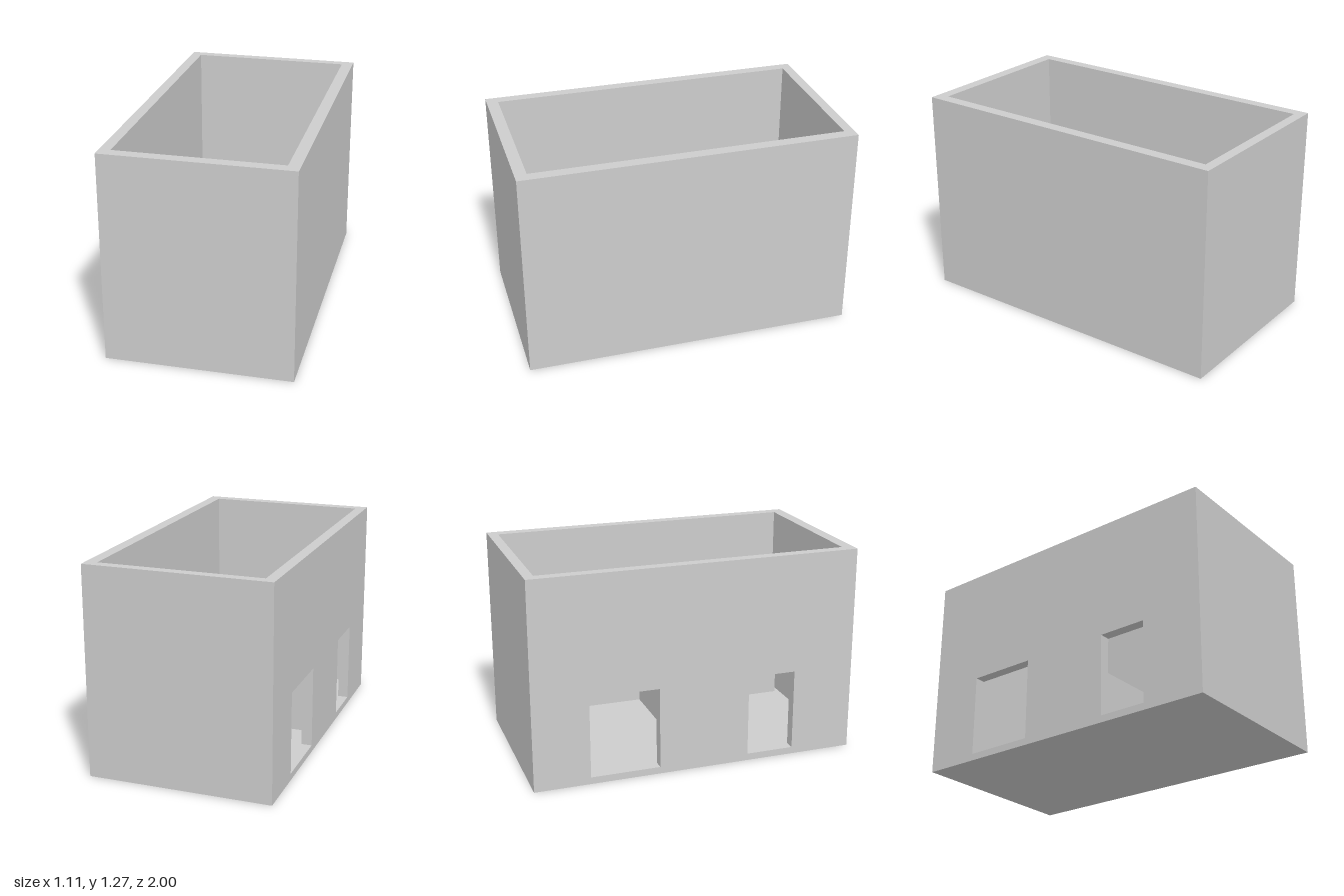
import * as THREE from 'three';

const W = 0.555, H = 1.27, D = 1;
const FLOOR = 0.042;
// inner faces of the four walls
const IN = { x0: -0.49, x1: 0.485, z0: -0.94, z1: 0.93 };

export function createModel() {
  const group = new THREE.Group();
  const grey = new THREE.MeshStandardMaterial({ color: 0xcccccc });
  grey.name = 'plainGrey';

  function add(name, geometry) {
    const mesh = new THREE.Mesh(geometry, grey);
    mesh.name = name;
    group.add(mesh);
  }

  // box given by its lower and upper limits
  function block(name, [x0, x1], [y0, y1], [z0, z1]) {
    const g = new THREE.BoxGeometry(x1 - x0, y1 - y0, z1 - z0);
    g.translate((x0 + x1) / 2, (y0 + y1) / 2, (z0 + z1) / 2);
    add(name, g);
  }

  function rectangle(path, u0, u1, v0, v1) {
    path.moveTo(u0, v0);
    path.lineTo(u1, v0);
    path.lineTo(u1, v1);
    path.lineTo(u0, v1);
    path.closePath();
    return path;
  }

  // right wall with two doorways
  const side = rectangle(new THREE.Shape(), -D, D, 0, H);
  for (const [z0, z1] of [[-0.66, -0.235], [0.325, 0.62]]) {
    side.holes.push(rectangle(new THREE.Path(), z0, z1, FLOOR, 0.54));
  }
  const sideWall = new THREE.ExtrudeGeometry(side, { depth: W + IN.x0, bevelEnabled: false });
  sideWall.rotateY(-Math.PI / 2);
  sideWall.translate(IN.x0, 0, 0);
  add('doorwayWall', sideWall);

  // solid walls and floor
  block('leftWall', [IN.x1, W], [0, H], [-D, D]);
  block('frontWall', [IN.x0, IN.x1], [0, H], [IN.z1, D]);
  block('backWall', [IN.x0, IN.x1], [0, H], [-D, IN.z0]);
  block('floor', [IN.x0, IN.x1], [0, FLOOR], [IN.z0, IN.z1]);

  // low partition between the two rooms
  block('partition', [-0.483, IN.x1], [FLOOR, 0.55], [-0.03, 0.02]);

  // built-in blocks, one in each room
  block('backBlock', [-0.035, 0.185], [FLOOR, 0.24], [IN.z0, -0.63]);
  block('frontBlock', [0.32, 0.475], [FLOOR, 0.24], [0.64, 0.9]);

  return group;
}
